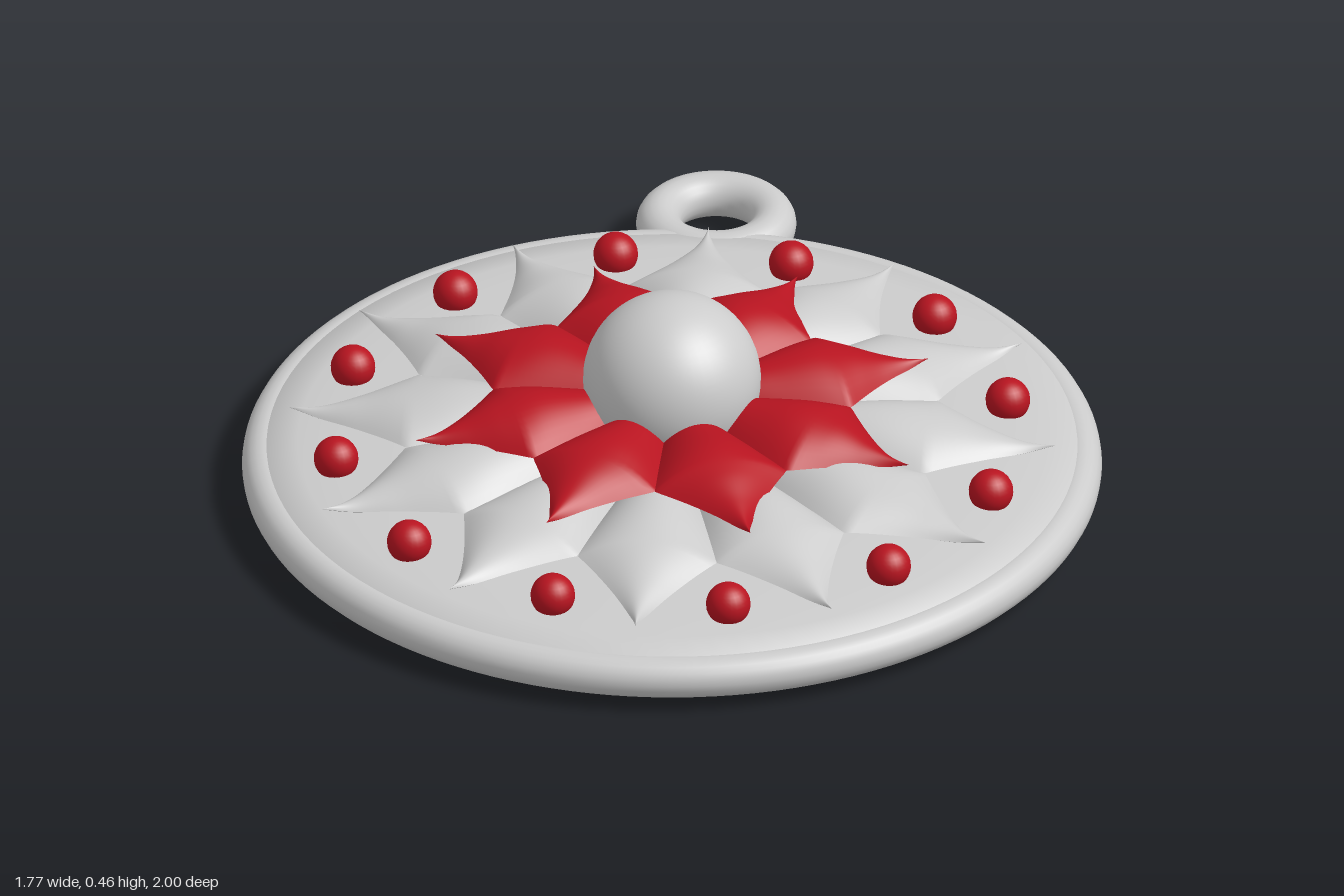
import * as THREE from 'three';

const grey = new THREE.MeshStandardMaterial({ color: 0xcccccc });
const red = new THREE.MeshStandardMaterial({ color: 0xb81420 });

function part(parent, name, geometry, material, x = 0, y = 0, z = 0) {
  const mesh = new THREE.Mesh(geometry, material);
  mesh.name = name;
  mesh.position.set(x, y, z);
  parent.add(mesh);
  return mesh;
}

// Lens-shaped petal pointing along +z. Each station is [distance, edge height, crown height].
// Sides follow a wedge out to the shoulder, then sweep in to a sharp tip.
function petalGeometry(stations, halfAngle, shoulder, depth) {
  const spine = new THREE.CatmullRomCurve3(stations.map((s) => new THREE.Vector3(...s)));
  const tip = stations[stations.length - 1][0];
  const maxWidth = shoulder * Math.tan(halfAngle);
  const rows = 48, cols = 16;
  const positions = [], indices = [];
  for (const top of [true, false]) {
    const base = positions.length / 3;
    for (let i = 0; i <= rows; i++) {
      const { x: r, y: edge, z: crown } = spine.getPoint(i / rows);
      const t = Math.min(1, Math.max(0, (r - shoulder) / (tip - shoulder)));
      const width = r < shoulder ? r * Math.tan(halfAngle) : maxWidth * (1 - t) ** 1.4;
      for (let j = 0; j <= cols; j++) {
        const s = (j / cols) * 2 - 1;
        const bulge = 1 - s * s;
        const y = edge + bulge * (top ? crown - edge : -depth * (1 - t));
        positions.push(s * width, y, r);
      }
    }
    for (let i = 0; i < rows; i++) {
      for (let j = 0; j < cols; j++) {
        const a = base + i * (cols + 1) + j, b = a + cols + 1;
        if (top) indices.push(a, b, a + 1, a + 1, b, b + 1);
        else indices.push(a, a + 1, b, a + 1, b + 1, b);
      }
    }
  }
  const geometry = new THREE.BufferGeometry();
  geometry.setAttribute('position', new THREE.Float32BufferAttribute(positions, 3));
  geometry.setIndex(indices);
  geometry.computeVertexNormals();
  return geometry;
}

function petalRing(parent, name, geometry, material, count, offset) {
  const ring = new THREE.Group();
  ring.name = name + 's';
  for (let i = 0; i < count; i++) {
    part(ring, name, geometry, material).rotation.y = ((i + offset) / count) * Math.PI * 2;
  }
  parent.add(ring);
}

export function createModel() {
  const model = new THREE.Group();
  model.name = 'flowerPendant';
  const medallion = new THREE.Group();
  medallion.name = 'medallion';
  medallion.position.z = 0.115;
  model.add(medallion);

  // Backing plate: flat underside with a softened edge, gently domed top
  const profile = [
    [0, 0], [0.68, 0], [0.74, 0.004], [0.79, 0.013], [0.84, 0.03], [0.855, 0.067],
    [0.84, 0.109], [0.77, 0.12], [0.7, 0.128], [0.5, 0.14], [0, 0.15],
  ].map(([r, y]) => new THREE.Vector2(r, y));
  part(medallion, 'backingPlate', new THREE.LatheGeometry(profile, 96), grey);

  // Rounded rim
  const rim = new THREE.TorusGeometry(0.84, 0.044, 20, 128).rotateX(Math.PI / 2);
  part(medallion, 'rim', rim, grey, 0, 0.067, 0);

  // Twelve outer petals
  const outer = petalGeometry([
    [0.2, 0.16, 0.2], [0.35, 0.165, 0.22], [0.45, 0.165, 0.222], [0.55, 0.16, 0.206],
    [0.65, 0.15, 0.178], [0.73, 0.145, 0.159], [0.79, 0.155, 0.156],
  ], Math.PI / 12, 0.536, 0.03);
  petalRing(medallion, 'outerPetal', outer, grey, 12, 0);

  // Eight inner petals
  const inner = petalGeometry([
    [0.1, 0.22, 0.25], [0.2, 0.225, 0.27], [0.3, 0.225, 0.282], [0.38, 0.22, 0.268],
    [0.45, 0.215, 0.243], [0.51, 0.212, 0.226], [0.55, 0.22, 0.221],
  ], Math.PI / 8, 0.342, 0.025);
  petalRing(medallion, 'innerPetal', inner, red, 8, 0.5);

  // Centre ball
  part(medallion, 'centreBall', new THREE.SphereGeometry(0.183, 48, 32), grey, 0, 0.272, 0);

  // Beads set between the outer petal tips
  const beadGeometry = new THREE.SphereGeometry(0.046, 24, 16);
  for (let i = 0; i < 12; i++) {
    const a = ((i + 0.5) / 12) * Math.PI * 2;
    part(medallion, 'bead', beadGeometry, red, 0.7 * Math.sin(a), 0.15, 0.7 * Math.cos(a));
  }

  // Hanging loop at the back
  const loop = new THREE.TorusGeometry(0.118, 0.047, 20, 64).rotateX(Math.PI / 2);
  part(model, 'hangingLoop', loop, grey, 0, 0.068, -0.835);

  return model;
}
